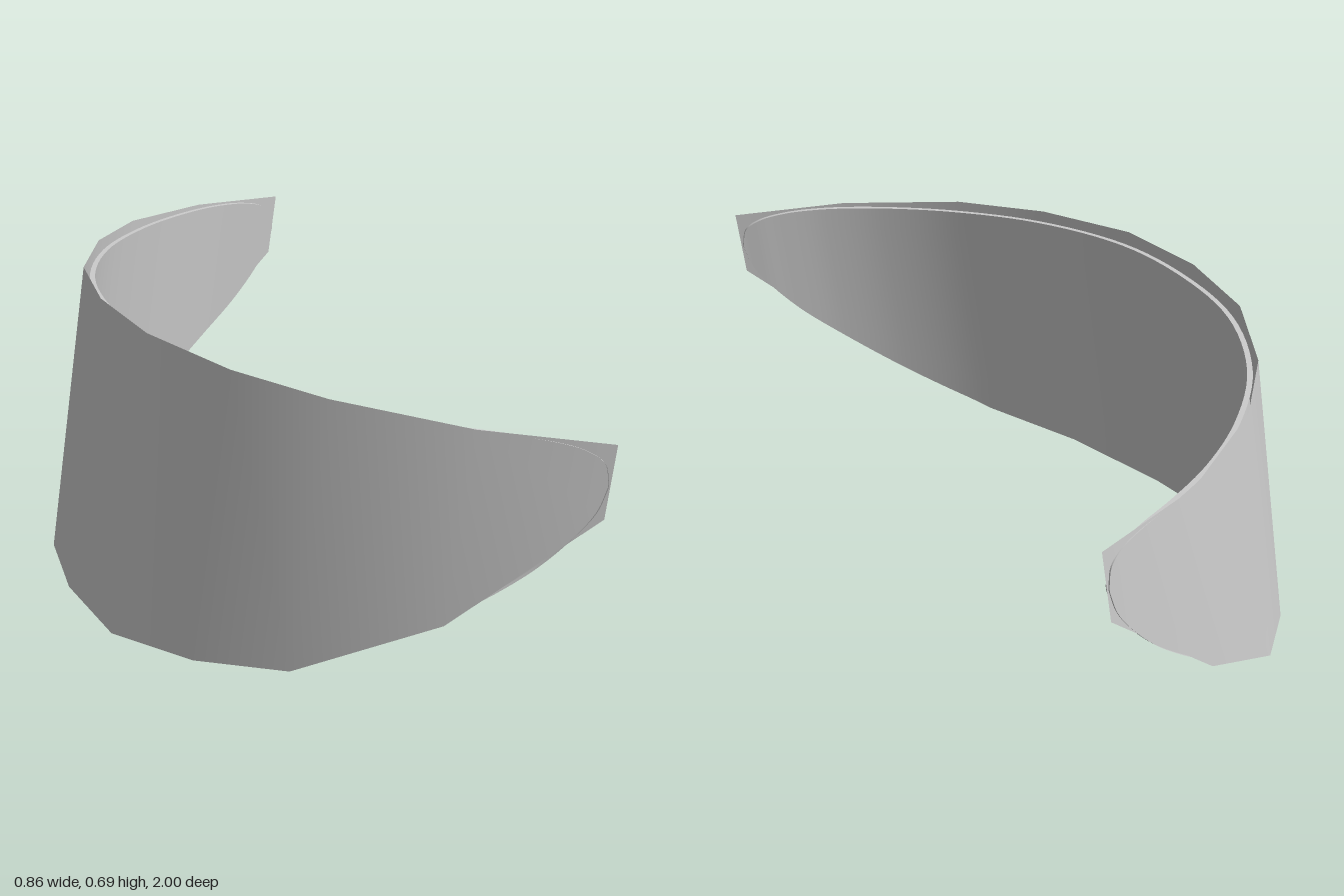
import * as THREE from 'three';

// Half cross-sections from the middle to the tip: [z, depth, bottom y, top y]
const SHELL = [
  [0, -0.43, 0.005, 0.695], [0.26, -0.4, 0, 0.692], [0.51, -0.294, 0.033, 0.68],
  [0.705, -0.15, 0.075, 0.666], [0.895, 0.09, 0.225, 0.64], [1, 0.348, 0.46, 0.615],
];
const LINING = [
  [0, -0.398, 0.03, 0.668], [0.25, -0.372, 0.034, 0.666], [0.5, -0.27, 0.052, 0.657],
  [0.69, -0.125, 0.1, 0.647], [0.82, 0.02, 0.18, 0.638], [0.9, 0.145, 0.27, 0.63],
  [0.945, 0.24, 0.35, 0.618], [0.97, 0.3, 0.42, 0.6], [0.985, 0.333, 0.475, 0.575],
  [0.99, 0.345, 0.525, 0.535],
];
const LEAN = 0.134; // the wall tilts forward as it rises

const mirrored = (rows) => [...rows.slice(1).reverse().map(([z, ...r]) => [-z, ...r]), ...rows];
const wallPoint = (depth, y, z) => new THREE.Vector3(depth + LEAN * y, y, z);

// Smooth column grid -> mesh; columns run along z, points run upward
function gridMesh(name, columns, flip) {
  const n = columns[0].length;
  const geometry = new THREE.BufferGeometry().setFromPoints(columns.flat());
  const index = [];
  for (let j = 0; j < columns.length - 1; j++) {
    for (let i = 0; i < n - 1; i++) {
      const a = j * n + i, b = a + n, c = a + 1, d = b + 1;
      if (flip) index.push(a, c, b, b, c, d);
      else index.push(a, b, c, b, d, c);
    }
  }
  geometry.setIndex(index);
  geometry.computeVertexNormals();
  const material = new THREE.MeshStandardMaterial({ color: 0xcccccc, side: THREE.DoubleSide });
  const mesh = new THREE.Mesh(geometry, material);
  mesh.name = name;
  return mesh;
}

// One upright column of points across the wall
function column([z, depth, low, high], steps) {
  return Array.from({ length: steps + 1 }, (_, i) =>
    wallPoint(depth, THREE.MathUtils.lerp(low, high, i / steps), z));
}

export function createModel() {
  const group = new THREE.Group();
  group.name = 'curvedVisor';

  // Faceted outer shell
  group.add(gridMesh('outerShell', mirrored(SHELL).map((r) => column(r, 1)), false));

  // Smooth rounded lining on the hollow side
  const rows = mirrored(LINING);
  const spline = (k) => new THREE.CatmullRomCurve3(
    rows.map((r) => new THREE.Vector3(r[0], r[1], r[k])), false, 'centripetal');
  const low = spline(2).getPoints(108), high = spline(3).getPoints(108);
  const columns = low.map((p, j) => {
    const q = high[j];
    return column([(p.x + q.x) / 2, (p.y + q.y) / 2, p.z, q.z], 8);
  });
  group.add(gridMesh('innerLining', columns, true));

  // Thin edge turned back from the lining toward the shell
  const loop = [...columns.map((c) => c[0]), ...columns.map((c) => c[8]).reverse(), columns[0][0]];
  const edge = loop.map((p) => {
    const outward = new THREE.Vector3(p.x - 0.57, 0, p.z).normalize();
    return [p.clone(), p.clone().addScaledVector(outward, 0.012)];
  });
  group.add(gridMesh('liningEdge', edge, false));

  return group;
}
